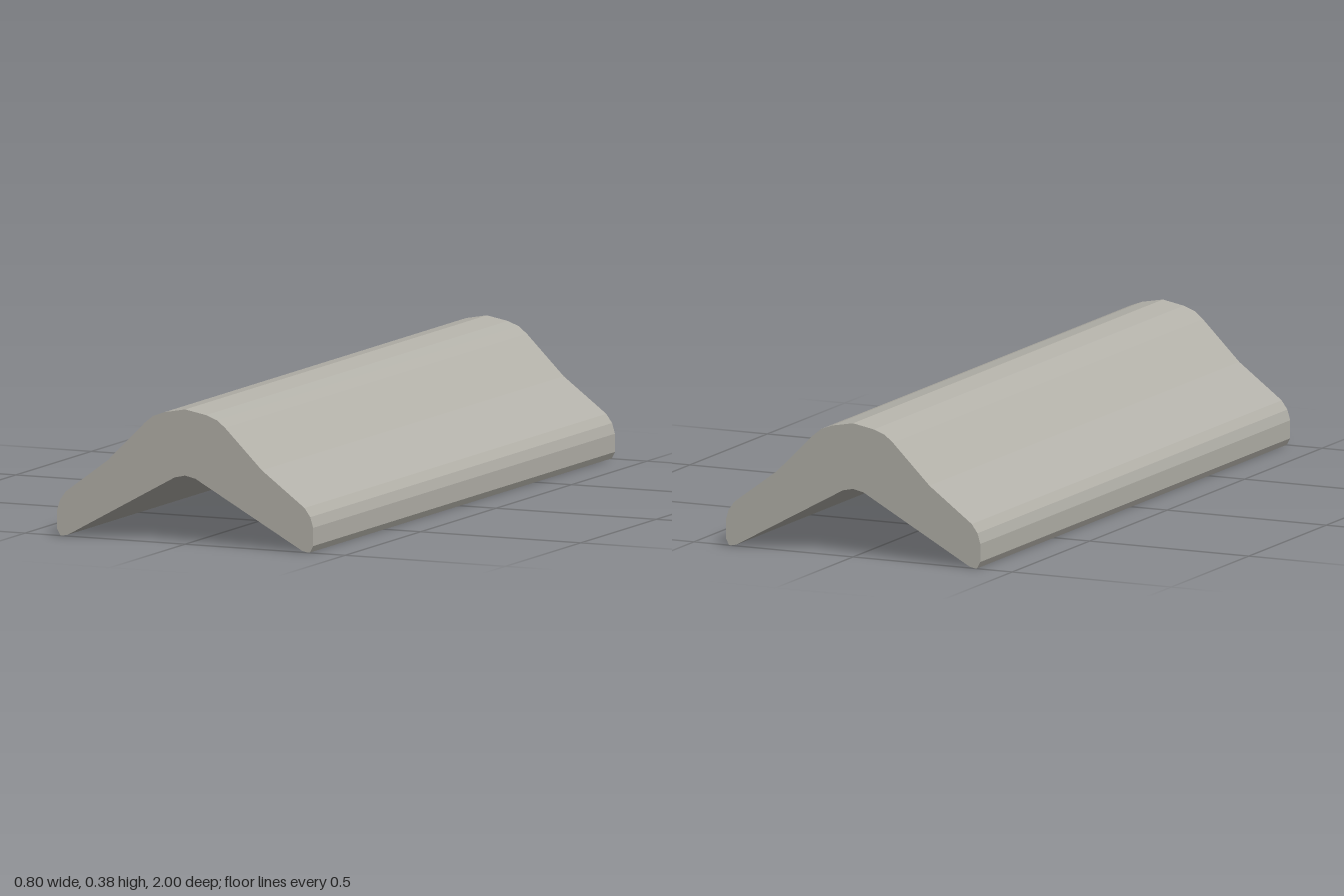
import * as THREE from 'three';

// Right half of the cross-section, from the ridge down around the foot to the inner apex
const half = [
  [0, 0.385], [0.065, 0.373], [0.1, 0.36], [0.125, 0.34], [0.24, 0.226],
  [0.373, 0.127], [0.391, 0.102], [0.4, 0.072], [0.4, 0.02], [0.39, 0.001],
  [0.384, 0], [0.366, 0.004], [0.032, 0.189], [0, 0.196],
];
const LENGTH = 2;

export function createModel() {
  const group = new THREE.Group();
  group.name = 'angleBar';

  const stone = new THREE.MeshStandardMaterial({ color: 0xb4b2aa, flatShading: true });
  stone.name = 'warm grey';

  // Mirror the half profile to close the outline
  const mirrored = half.slice(1, -1).reverse().map(([x, y]) => [-x, y]);
  const outline = [...half, ...mirrored].map(([x, y]) => new THREE.Vector2(x, y));

  // Sweep the profile along z
  const geometry = new THREE.ExtrudeGeometry(new THREE.Shape(outline), {
    depth: LENGTH, bevelEnabled: false,
  });
  geometry.translate(0, 0, -LENGTH / 2);

  const bar = new THREE.Mesh(geometry, stone);
  bar.name = 'ridgedBar';
  group.add(bar);
  return group;
}
